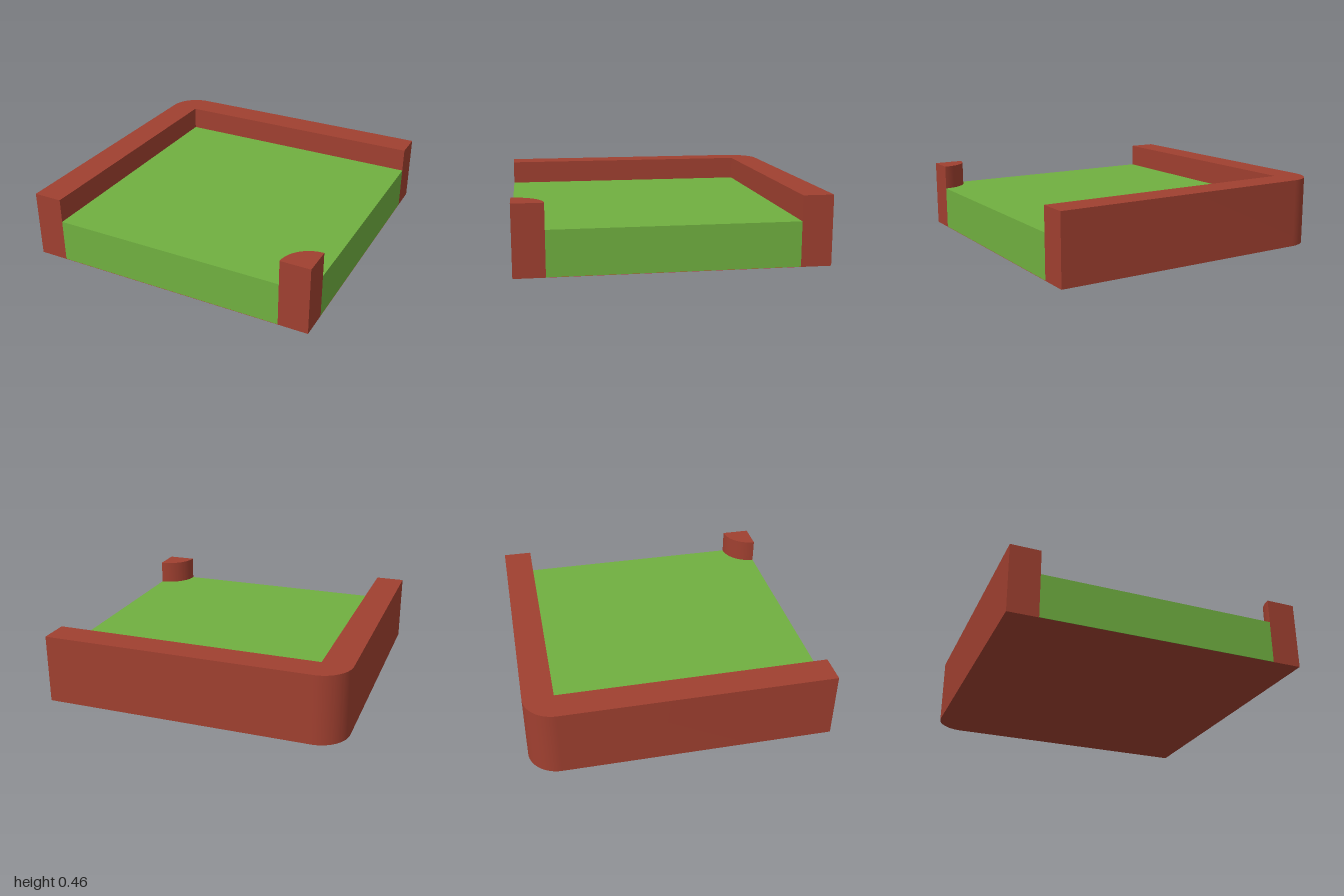
import * as THREE from 'three';
import { toCreasedNormals } from 'three/addons/utils/BufferGeometryUtils.js';

const HEIGHT = 0.46, LAWN_HEIGHT = 0.295, R = 0.2, INNER = 0.8;

// Plan outlines are drawn in (x, -z) and raised along y
function slab(name, shape, material, bottom, top) {
  const geometry = new THREE.ExtrudeGeometry(shape, {
    depth: top - bottom, bevelEnabled: false, curveSegments: 16,
  });
  geometry.rotateX(-Math.PI / 2).translate(0, bottom, 0);
  const mesh = new THREE.Mesh(toCreasedNormals(geometry, 0.5), material);
  mesh.name = name;
  return mesh;
}

export function createModel() {
  const group = new THREE.Group();
  group.name = 'cornerTile';
  const red = new THREE.MeshStandardMaterial({ color: 0xa04030 });
  const green = new THREE.MeshStandardMaterial({ color: 0x70b040 });
  const floorRed = new THREE.MeshStandardMaterial({ color: 0xa04030, side: THREE.DoubleSide });

  // L-shaped wall along the back and right, rounded at its outer corner
  const wall = new THREE.Shape();
  wall.moveTo(-1, -1);
  wall.lineTo(-INNER, -1);
  wall.lineTo(-INNER, INNER);
  wall.lineTo(1, INNER);
  wall.lineTo(1, 1);
  wall.lineTo(-INNER, 1);
  wall.absarc(-INNER, INNER, R, Math.PI / 2, Math.PI, false);
  wall.closePath();
  group.add(slab('wall', wall, red, 0, HEIGHT));

  // Quarter-round post at the open corner
  const post = new THREE.Shape();
  post.moveTo(1, -1);
  post.lineTo(1, -INNER);
  post.absarc(1, -1, R, Math.PI / 2, Math.PI, false);
  post.closePath();
  group.add(slab('cornerPost', post, red, 0, HEIGHT));

  // Lawn fills the space between wall and post
  const lawn = new THREE.Shape();
  lawn.moveTo(-INNER, -1);
  lawn.lineTo(INNER, -1);
  lawn.absarc(1, -1, R, Math.PI, Math.PI / 2, true);
  lawn.lineTo(1, INNER);
  lawn.lineTo(-INNER, INNER);
  lawn.closePath();
  group.add(slab('lawn', lawn, green, 0.002, LAWN_HEIGHT));

  // Red underside beneath the lawn
  const floor = new THREE.Mesh(new THREE.ShapeGeometry(lawn, 16).rotateX(-Math.PI / 2), floorRed);
  floor.name = 'underside';
  group.add(floor);

  return group;
}
